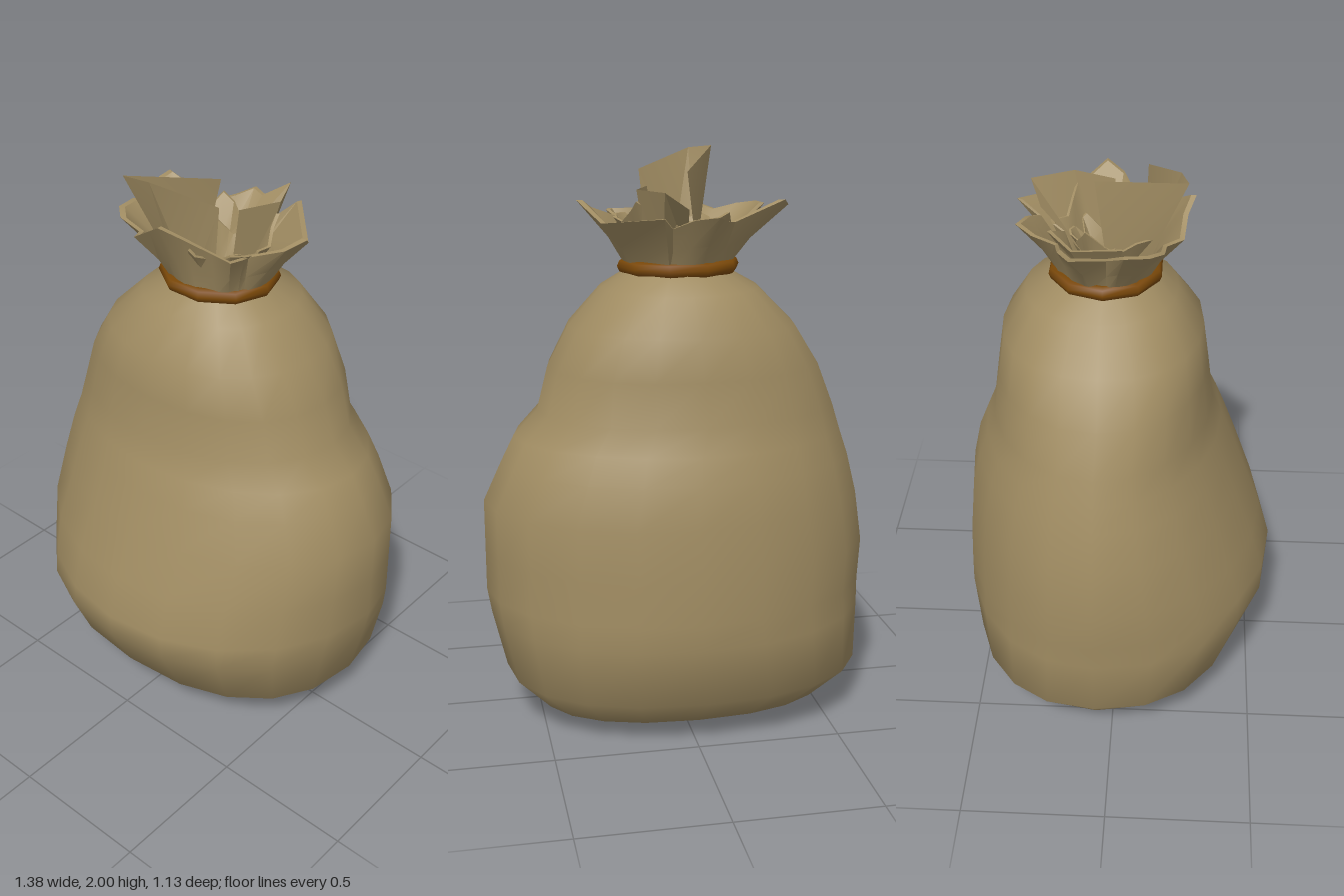
import * as THREE from 'three';
import { toCreasedNormals } from 'three/addons/utils/BufferGeometryUtils.js';

const CX = -0.01, CZ = -0.045; // centre of the neck
const SIDES = 20;
const { lerp } = THREE.MathUtils;

// Skin closed rings of [x, y, z] points, listed from bottom to top.
function loft(rings) {
  const n = rings[0].length, index = [];
  for (let r = 0; r < rings.length - 1; r++) {
    for (let i = 0; i < n; i++) {
      const a = r * n + i, b = r * n + (i + 1) % n;
      index.push(a, a + n, b, b, a + n, b + n);
    }
  }
  const g = new THREE.BufferGeometry();
  g.setAttribute('position', new THREE.Float32BufferAttribute(rings.flat(2), 3));
  g.setIndex(index);
  g.computeVertexNormals();
  return g;
}

// Lopsided oval with its own reach to each side; a power below 1 makes it squarer.
function oval([y, x0, x1, z0, z1, zc, power]) {
  const cx = (x0 + x1) / 2;
  const bulge = v => Math.sign(v) * Math.abs(v) ** power;
  return Array.from({ length: SIDES }, (_, i) => {
    const a = i / SIDES * Math.PI * 2, c = bulge(Math.cos(a)), s = bulge(Math.sin(a));
    return [cx + c * (x1 - x0) / 2, y, zc + s * (s > 0 ? z1 - zc : zc - z0)];
  });
}

// Thin folded piece of cloth: a strip between a lower and an upper line.
function strip(lower, upper) {
  const n = lower.length, index = [];
  for (let i = 0; i < n - 1; i++) index.push(i, i + 1, i + n, i + 1, i + n + 1, i + n);
  const g = new THREE.BufferGeometry();
  g.setAttribute('position', new THREE.Float32BufferAttribute([...lower, ...upper].flat(), 3));
  g.setIndex(index);
  return toCreasedNormals(g, 0.6);
}

export function createModel() {
  const group = new THREE.Group();
  const cloth = new THREE.MeshStandardMaterial({ color: 0xa08c62 });
  const thinCloth = new THREE.MeshStandardMaterial({ color: 0xa08c62, side: THREE.DoubleSide });
  const cord = new THREE.MeshStandardMaterial({ color: 0x7a4808 });
  const add = (name, geometry, material) => {
    const mesh = new THREE.Mesh(geometry, material);
    mesh.name = name;
    group.add(mesh);
    return mesh;
  };

  // Sagging sack: y, right, left, back, front, depth of the widest point, squareness
  const levels = [
    [0.00, -0.02, -0.02, -0.055, -0.055, -0.055, 1],
    [0.008, -0.33, 0.30, -0.12, 0.00, -0.055, 0.9],
    [0.04, -0.55, 0.50, -0.38, 0.27, -0.06, 0.87],
    [0.17, -0.665, 0.62, -0.53, 0.45, -0.06, 0.87],
    [0.38, -0.675, 0.67, -0.56, 0.56, -0.06, 0.95],
    [0.47, -0.68, 0.685, -0.562, 0.565, -0.06, 1],
    [0.62, -0.69, 0.685, -0.555, 0.52, -0.06, 1],
    [0.80, -0.665, 0.685, -0.54, 0.45, -0.06, 1],
    [0.94, -0.63, 0.62, -0.51, 0.40, -0.06, 1],
    [1.03, -0.60, 0.575, -0.475, 0.365, -0.06, 1],
    [1.12, -0.57, 0.49, -0.44, 0.33, -0.06, 0.97],
    [1.27, -0.51, 0.45, -0.42, 0.31, -0.05, 0.92],
    [1.41, -0.42, 0.375, -0.40, 0.29, -0.05, 0.9],
    [1.54, -0.29, 0.26, -0.32, 0.20, -0.05, 0.92],
    [1.59, -0.20, 0.18, -0.23, 0.14, CZ, 1],
    [1.63, -0.18, 0.16, -0.21, 0.12, CZ, 1],
    [1.64, CX, CX, CZ, CZ, CZ, 1],
  ];
  add('sackBody', loft(levels.map(oval)), cloth);

  // Cord around the neck
  const tie = add('neckTie', new THREE.TorusGeometry(0.185, 0.026, 8, 10), cord);
  tie.rotation.x = Math.PI / 2;
  tie.position.set(-0.015, 1.611, CZ);
  tie.scale.set(1.02, 0.94, 1);

  // Ragged rim of the gathered mouth
  const rim = [
    [0.34, 1.84, -0.06], [0.30, 1.81, 0.00], [0.19, 1.77, 0.05], [0.215, 1.79, 0.10],
    [0.20, 1.79, 0.15], [0.11, 1.79, 0.14], [0.04, 1.84, 0.20], [-0.02, 1.88, 0.25],
    [-0.08, 1.84, 0.225], [-0.16, 1.79, 0.215], [-0.19, 1.78, 0.16], [-0.28, 1.80, 0.155],
    [-0.33, 1.81, 0.11], [-0.34, 1.81, 0.03], [-0.26, 1.76, -0.03], [-0.38, 1.82, -0.14],
    [-0.36, 1.84, -0.175], [-0.18, 1.77, -0.20], [-0.14, 1.78, -0.28], [-0.10, 1.80, -0.335],
    [-0.02, 1.79, -0.31], [0.05, 1.76, -0.28], [0.09, 1.80, -0.35], [0.27, 1.77, -0.16],
  ];
  // Cloth climbs from the neck to the rim, turns over its edge and drops back inside.
  const wall = [[0, 1], [0.45, 1], [1, 1], [1, 0.94], [0.45, 0.88], [0, 0.85]];
  const ruffle = (height, spread) => toCreasedNormals(loft(wall.map(([t, inset]) =>
    rim.map(([x, y, z]) => {
      const a = Math.atan2(z - CZ, x - CX), out = t * t * 0.35 + t * 0.65, s = spread * inset;
      return [
        CX + s * lerp(0.18 * Math.cos(a), x - CX, out),
        1.61 + (y - 1.61) * height * t,
        CZ + s * lerp(0.165 * Math.sin(a), z - CZ, out),
      ];
    }))), 0.6);
  add('outerRuffle', ruffle(1, 1), thinCloth);

  // Crumpled layers inside the mouth, each turned against the last
  [[0.85, 0.66, 2.2], [0.6, 0.36, 4.1]].forEach(([height, spread, turn], i) => {
    const layer = add('innerRuffle' + (i + 1), ruffle(height, spread), thinCloth);
    layer.geometry.translate(-CX, 0, -CZ);
    layer.position.set(CX, 0, CZ);
    layer.rotation.y = turn;
  });

  // Tall flap: a trough whose tip leans out over the front
  add('tallFlap', strip(
    [[0.07, 1.66, 0.08], [-0.02, 1.62, 0.09], [-0.10, 1.62, 0.07], [-0.08, 1.66, -0.04]],
    [[0.10, 1.93, 0.09], [-0.10, 1.995, 0.20], [-0.19, 2.00, 0.225], [-0.04, 1.93, -0.08]]), thinCloth);
  // Back flap: an arched tongue leaning out over the back
  add('backFlap', strip(
    [[0.06, 1.66, -0.02], [0.10, 1.62, -0.10], [0.06, 1.62, -0.16], [-0.03, 1.66, -0.12]],
    [[0.09, 1.88, -0.02], [0.15, 1.88, -0.16], [0.08, 1.88, -0.30], [-0.01, 1.82, -0.26]]), thinCloth);

  return group;
}
